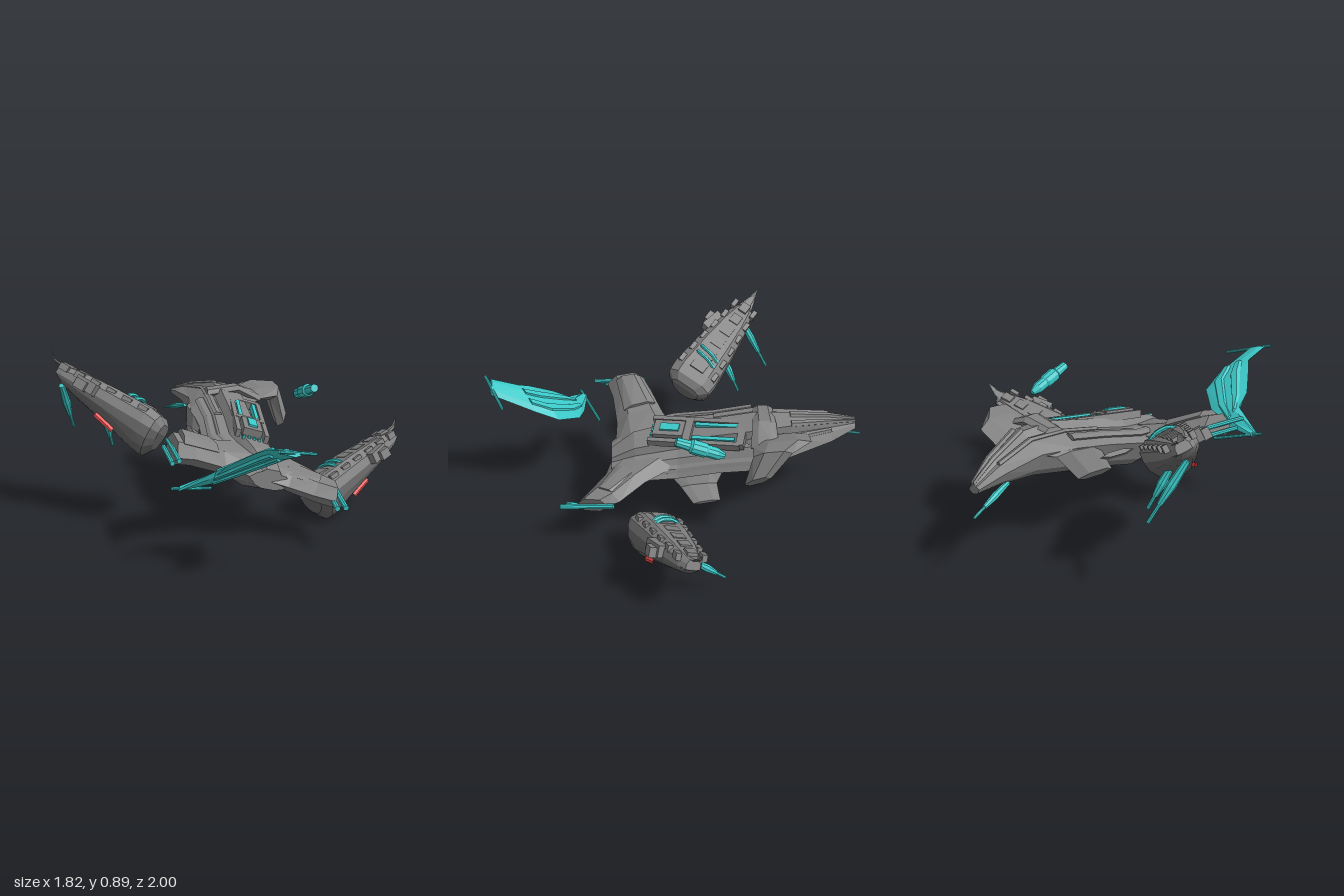
import * as THREE from 'three';

const V = (a) => new THREE.Vector3(...a);
const mat = (color) => new THREE.MeshStandardMaterial({ color, flatShading: true });
const GREY = mat(0x828282), DARK = mat(0x6a6a6a), TEAL = mat(0x3cc8c8), RED = mat(0xff5050);

function add(parent, name, geo, material = GREY) {
  const m = new THREE.Mesh(geo, material);
  m.name = name;
  parent.add(m);
  return m;
}

// Skin rings of equal point count, cap both ends, face outward.
function loft(rings) {
  const tris = [], n = rings[0].length;
  for (let i = 0; i < rings.length - 1; i++)
    for (let j = 0; j < n; j++) {
      const k = (j + 1) % n, a = rings[i], b = rings[i + 1];
      tris.push([a[j], a[k], b[k]], [a[j], b[k], b[j]]);
    }
  const s = rings[0], e = rings[rings.length - 1];
  for (let j = 1; j < n - 1; j++) tris.push([s[0], s[j + 1], s[j]], [e[0], e[j], e[j + 1]]);
  let vol = 0;
  for (const [a, b, c] of tris) vol += a.dot(b.clone().cross(c));
  const pts = tris.flatMap(([a, b, c]) => (vol < 0 ? [a, c, b] : [a, b, c]));
  const g = new THREE.BufferGeometry().setFromPoints(pts);
  g.computeVertexNormals();
  return g;
}

// Blade with a bevelled section: pairs of edge points, half thickness t along n.
function blade(pairs, t, n) {
  const d = V(n).normalize().multiplyScalar(t);
  return loft(pairs.map(([p, q]) => {
    const a = V(p), b = V(q), at = (f, s) => a.clone().lerp(b, f).addScaledVector(d, s);
    return [at(0, 0), at(0.25, 1), at(0.75, 1), at(1, 0), at(0.75, -1), at(0.25, -1)];
  }));
}

function rod(parent, name, p, q, r1, r2 = r1) {
  const a = V(p), b = V(q), d = b.clone().sub(a);
  const m = add(parent, name, new THREE.CylinderGeometry(r2, r1, d.length(), 8), TEAL);
  m.position.copy(a).add(b).multiplyScalar(0.5);
  m.quaternion.setFromUnitVectors(new THREE.Vector3(0, 1, 0), d.normalize());
}

// Stepped cannon: breech, sleeve and barrel.
function cannon(parent, name, p, q, r) {
  const g = new THREE.Group(), at = (f) => V(p).lerp(V(q), f).toArray();
  g.name = name;
  rod(g, 'breech', at(0), at(0.4), r * 0.7, r);
  rod(g, 'sleeve', at(0.4), at(0.7), r, r * 0.6);
  rod(g, 'barrel', at(0.7), at(1), r * 0.4);
  parent.add(g);
}

function box(parent, name, size, pos, material = GREY) {
  const m = add(parent, name, new THREE.BoxGeometry(...size), material);
  m.position.set(...pos);
  return m;
}

// Nacelle: round dark belly, panelled deck, tapering along local +x.
// s mirrors local z; lean tips the deck toward the rear.
function pod(name, start, end, s, lean) {
  const g = new THREE.Group();
  g.name = name;
  const x = V(end).sub(V(start)), len = x.length();
  x.normalize();
  const y = new THREE.Vector3(0, 1, -lean);
  y.addScaledVector(x, -x.dot(y)).normalize();
  const z = x.clone().cross(y);
  g.applyMatrix4(new THREE.Matrix4().makeBasis(x, y, z).setPosition(V(start)));
  // position along axis, half width, deck height, belly depth
  const st = [[-0.04, 0.085, 0.05, 0.09], [0, 0.13, 0.08, 0.145], [0.07, 0.135, 0.09, 0.14],
    [0.3, 0.115, 0.085, 0.095], [0.5, 0.09, 0.07, 0.06], [0.62, 0.06, 0.055, 0.035], [0.67, 0.035, 0.045, 0.005]];
  const skin = (fn) => loft(st.map(([t, w, top, bot]) =>
    fn(top, bot).map(([u, v]) => new THREE.Vector3(t * len / 0.67, v, w * u))));
  const arc = Array.from({ length: 9 }, (_, i) => Math.PI * i / 8);
  add(g, 'podBelly', skin((top, bot) => arc.map((a) => [Math.cos(a), -bot * Math.sin(a)])), DARK);
  add(g, 'podDeck', skin((top) => [[1, 0], [0.97, 0.55], [0.6, 1], [-0.6, 1], [-0.97, 0.55], [-1, 0]]
    .map(([u, v]) => [u, v * top])));
  // deck hatches and side armour blocks
  for (let i = 0; i < 6; i++) {
    const t = 0.09 + i * 0.095, h = 0.094 - t * 0.058;
    box(g, 'deckHatch', [0.06, 0.018, 0.085 - i * 0.007], [t, h, 0]).rotation.z = -0.06;
    for (const k of [-1, 1])
      box(g, 'deckRib', [0.05, 0.035, 0.025], [t, h * 0.7, k * (0.115 - t * 0.09)]);
  }
  box(g, 'sideBlock', [0.12, 0.06, 0.06], [0.4, 0.02, s * 0.1]).rotation.y = s * 0.2;
  box(g, 'sideBlock', [0.06, 0.05, 0.04], [0.42, 0.01, s * 0.135]);
  add(g, 'tipSpike', blade([[[0.58, 0.045, -0.04], [0.58, 0.045, 0.04]],
    [[0.65, 0.05, -0.02], [0.65, 0.05, 0.02]], [[0.69, 0.08, -0.004], [0.69, 0.08, 0.004]]], 0.014, [1, 0.6, 0]));
  // glowing slot on the belly and teal pipes on the deck
  const slot = [[0.18, -0.108], [0.22, -0.098], [0.26, -0.09], [0.3, -0.082]].map(([a, b]) =>
    new THREE.Vector3(a, b, s * 0.06));
  add(g, 'glowSlot', new THREE.TubeGeometry(new THREE.CatmullRomCurve3(slot), 8, 0.015, 6), RED);
  for (const k of [0, 0.04]) {
    const pipe = [[-0.07, 0.08], [-0.03, 0.1], [0.03, 0.1], [0.06, 0.08]].map(([c, h], i) =>
      new THREE.Vector3(0.13 + k + i * 0.012, h, s * c));
    add(g, 'deckPipe', new THREE.TubeGeometry(new THREE.CatmullRomCurve3(pipe), 6, 0.011, 6), TEAL);
  }
  return g;
}

export function createModel() {
  const ship = new THREE.Group();
  ship.name = 'brokenShip';

  // Hull: rolled cross-sections of centre x, y, z, half width, half height
  const section = [[-1, -0.05], [-0.65, 0.55], [-0.4, 0.62], [-0.3, 1], [0.3, 1], [0.4, 0.62],
    [0.65, 0.55], [1, -0.05], [0.65, -0.75], [0.3, -1], [-0.3, -1], [-0.65, -0.75]];
  const hull = [[-0.02, 0.36, 0.34, 0.12, 0.05], [-0.04, 0.385, 0.22, 0.19, 0.1], [-0.05, 0.41, 0, 0.21, 0.125],
    [-0.01, 0.455, -0.2, 0.2, 0.125], [0.02, 0.495, -0.4, 0.21, 0.13], [0.02, 0.52, -0.58, 0.155, 0.11],
    [-0.035, 0.52, -0.8, 0.105, 0.06], [-0.085, 0.505, -0.95, 0.04, 0.022]];
  const c = Math.cos(0.31), sn = Math.sin(0.31);
  const onHull = ([x, y, z, w, h], u, v) =>
    new THREE.Vector3(x + u * w * c + v * h * sn, y - u * w * sn + v * h * c, z);
  add(ship, 'hull', loft(hull.map((st) => section.map(([u, v]) => onHull(st, u, v)))));

  // Raised armour strips along the tail and flanks
  for (const [u, v, from, to] of [[-0.2, 1, 5, 8], [0.2, 1, 5, 8], [-0.55, 0.58, 3, 7], [0.55, 0.58, 3, 7],
    [-0.8, 0.3, 1, 5], [0.8, 0.3, 1, 5]]) {
    const pairs = hull.slice(from, to).map((st) =>
      [onHull(st, u - 0.13, v).toArray(), onHull(st, u + 0.13, v - (v < 0.5 ? 0.15 * Math.sign(u) : 0)).toArray()]);
    add(ship, 'armourStrip', blade(pairs, 0.013, [sn, c, 0]));
  }
  // Cross collar where the tail joins the body
  add(ship, 'tailCollar', blade([[[-0.08, 0.615, -0.4], [-0.06, 0.625, -0.5]],
    [[0.1, 0.63, -0.38], [0.1, 0.63, -0.5]], [[0.22, 0.56, -0.36], [0.22, 0.58, -0.5]]], 0.02, [sn, c, 0]));

  // Dorsal deck with canopy and teal strips
  const deck = new THREE.Group();
  deck.name = 'dorsalDeck';
  deck.position.set(0.035, 0.54, -0.1);
  deck.rotation.set(0.17, -0.25, -0.31, 'ZYX');
  ship.add(deck);
  for (const k of [-1, 1]) {
    box(deck, 'deckRail', [0.025, 0.04, 0.48], [k * 0.075, 0.005, 0]);
    box(deck, 'lightStrip', [0.02, 0.03, 0.22], [k * 0.045, 0.01, -0.1], TEAL);
  }
  box(deck, 'deckBridge', [0.15, 0.045, 0.04], [0, 0.005, 0.04]);
  box(deck, 'deckBridge', [0.16, 0.04, 0.04], [0, 0.005, -0.24]);
  box(deck, 'canopyBase', [0.1, 0.05, 0.16], [0, 0.01, 0.14]);
  box(deck, 'canopy', [0.045, 0.02, 0.1], [0, 0.035, 0.135], TEAL);
  for (let i = 0; i < 4; i++) box(deck, 'noseLight', [0.014, 0.02, 0.015], [-0.04 + i * 0.027, -0.01, 0.235], TEAL);

  // Forked front horns with twin guns
  add(ship, 'rightHorn', blade([[[-0.05, 0.4, 0.32], [-0.12, 0.45, -0.02]], [[-0.24, 0.44, 0.31], [-0.26, 0.49, 0.06]],
    [[-0.4, 0.51, 0.33], [-0.4, 0.55, 0.12]], [[-0.5, 0.54, 0.36], [-0.49, 0.58, 0.16]]], 0.055, [sn, c, 0]));
  add(ship, 'leftHorn', blade([[[-0.05, 0.36, 0.33], [0.12, 0.39, 0.02]], [[0.06, 0.32, 0.37], [0.19, 0.35, 0.17]],
    [[0.16, 0.29, 0.45], [0.28, 0.3, 0.3]], [[0.25, 0.27, 0.52], [0.3, 0.29, 0.36]]], 0.05, [sn, c, 0]));
  add(ship, 'hornPlate', blade([[[-0.26, 0.51, 0.27], [-0.28, 0.54, 0.1]],
    [[-0.45, 0.59, 0.31], [-0.44, 0.62, 0.18]]], 0.025, [sn, c, 0]));
  add(ship, 'hornPlate', blade([[[0.07, 0.37, 0.32], [0.15, 0.38, 0.18]],
    [[0.2, 0.33, 0.42], [0.26, 0.34, 0.33]]], 0.02, [sn, c, 0]));
  for (const k of [0, 1]) {
    rod(ship, 'rightHornGun', [-0.485 - k * 0.02, 0.57 - k * 0.035, 0.15], [-0.515 - k * 0.015, 0.55 - k * 0.03, 0.43 - k * 0.06], 0.012);
    rod(ship, 'leftHornGun', [0.315 - k * 0.03, 0.3 - k * 0.02, 0.33], [0.26 - k * 0.03, 0.265 - k * 0.01, 0.6 - k * 0.03], 0.014);
  }

  // Folded rear wings and belly fins
  add(ship, 'leftRearWing', blade([[[0.1, 0.53, -0.33], [0.1, 0.56, -0.67]], [[0.22, 0.57, -0.37], [0.23, 0.6, -0.66]],
    [[0.32, 0.58, -0.36], [0.33, 0.6, -0.55]], [[0.345, 0.43, -0.32], [0.35, 0.47, -0.45]]], 0.045, [0.6, 0.8, 0]));
  add(ship, 'rightRearWing', blade([[[-0.08, 0.52, -0.25], [-0.08, 0.56, -0.62]],
    [[-0.18, 0.5, -0.25], [-0.16, 0.54, -0.52]], [[-0.21, 0.38, -0.2], [-0.2, 0.4, -0.42]]], 0.03, [-0.6, 0.8, 0]));
  add(ship, 'rightFin', blade([[[-0.2, 0.42, -0.02], [-0.15, 0.42, -0.25]],
    [[-0.25, 0.47, -0.1], [-0.24, 0.49, -0.3]]], 0.012, [0.5, 0.8, 0]));
  add(ship, 'bellyFin', blade([[[0.03, 0.3, 0.05], [0.05, 0.33, -0.25]], [[0.08, 0.235, -0.02], [0.09, 0.26, -0.21]],
    [[0.19, 0.205, -0.08], [0.19, 0.225, -0.22]]], 0.01, [0.3, 0.9, 0]));
  cannon(ship, 'tailCannon', [-0.09, 0.47, -0.76], [-0.14, 0.4, -1], 0.018);

  // Nacelles with their cannons
  ship.add(pod('rightPod', [-0.47, 0.54, -0.09], [-0.88, 0.8, -0.45], -1, 0.5));
  ship.add(pod('leftPod', [0.32, 0.16, 0.14], [0.885, 0.365, -0.03], 1, 0.3));
  cannon(ship, 'rightPodCannon', [-0.87, 0.74, -0.42], [-0.79, 0.47, -0.57], 0.022);
  cannon(ship, 'rightPodCannon', [-0.68, 0.6, -0.3], [-0.625, 0.4, -0.39], 0.022);
  cannon(ship, 'leftPodCannon', [0.71, 0.26, -0.05], [0.68, 0.13, -0.2], 0.02);

  // Detached teal wing with a raised rib and two edge rods
  const wing = [[[-0.55, 0.45, 0.52], [-0.54, 0.44, 0.48]], [[-0.39, 0.53, 0.57], [-0.38, 0.44, 0.49]],
    [[-0.37, 0.58, 0.66], [-0.26, 0.47, 0.51]], [[-0.29, 0.66, 0.77], [-0.13, 0.54, 0.61]],
    [[-0.25, 0.69, 0.82], [-0.12, 0.6, 0.73]], [[-0.25, 0.73, 0.96], [-0.15, 0.69, 0.95]]];
  add(ship, 'detachedWing', blade(wing, 0.014, [0.45, 0.75, -0.5]), TEAL);
  for (const [from, to] of [[0.15, 0.42], [0.5, 0.8]])
    add(ship, 'wingRib', blade(wing.slice(1, 5).map(([p, q]) =>
      [from, to].map((f) => V(p).lerp(V(q), f).toArray())), 0.024, [0.45, 0.75, -0.5]), TEAL);
  rod(ship, 'wingRod', [-0.58, 0.455, 0.515], [-0.36, 0.39, 0.41], 0.008);
  rod(ship, 'wingRod', [-0.27, 0.735, 0.99], [-0.05, 0.665, 0.885], 0.008);

  // Detached teal engine canister
  const profile = [[0, 0], [0.022, 0], [0.026, 0.07], [0.036, 0.08], [0.036, 0.15], [0.03, 0.16],
    [0.03, 0.21], [0.015, 0.25], [0, 0.25]].map(([r, h]) => new THREE.Vector2(r, h));
  const can = add(ship, 'engineCanister', new THREE.LatheGeometry(profile, 10), TEAL);
  can.position.set(0.365, 0.71, 0.02);
  can.quaternion.setFromUnitVectors(new THREE.Vector3(0, 1, 0), V([0, -0.38, -1]).normalize());
  return ship;
}
